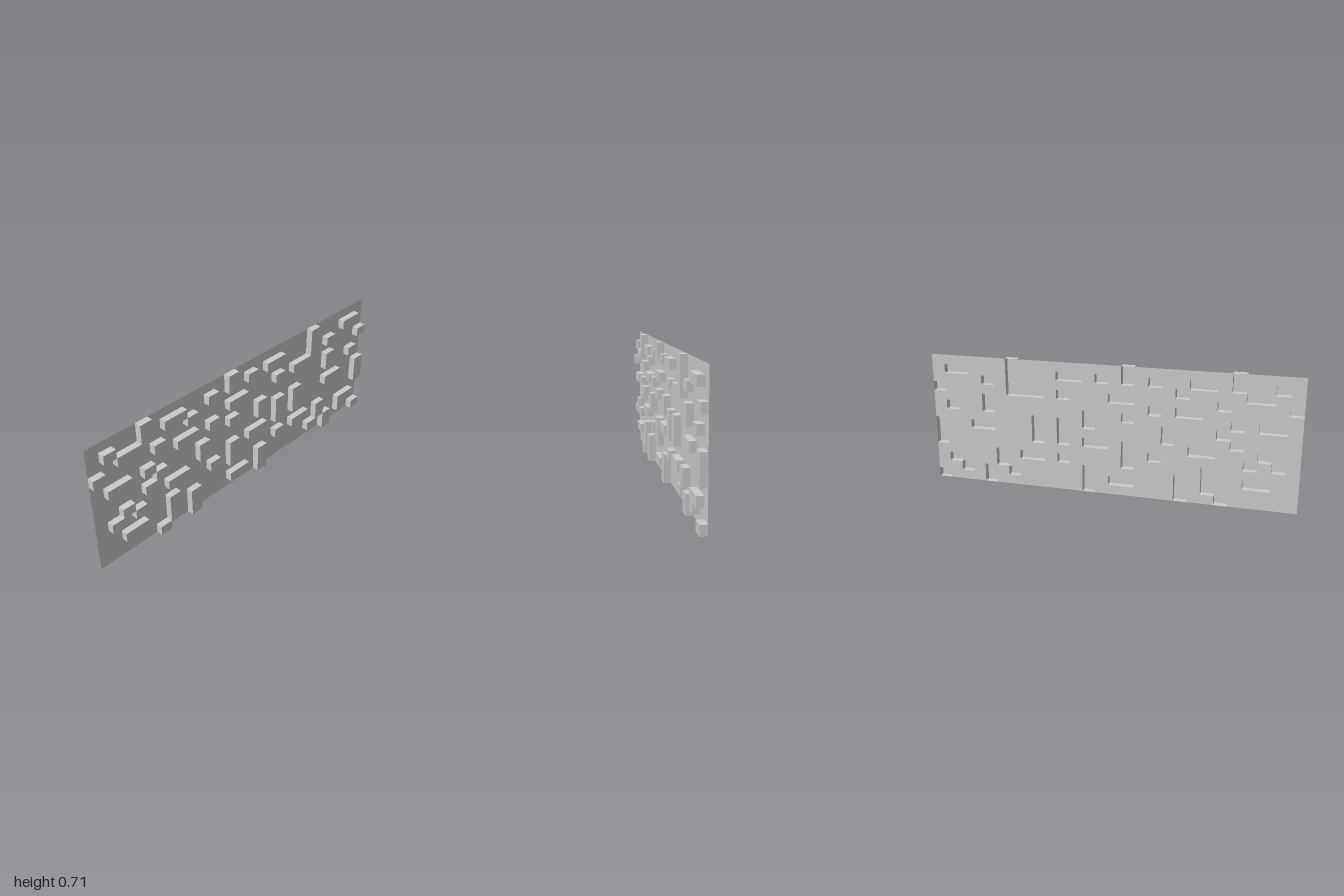
import * as THREE from 'three';

const COLS = 28, ROWS = 14;
const CW = 2 / COLS, CH = 0.714 / ROWS, BACK = -0.018, FRONT = 0.018;

// Raised blocks by size in grid cells; each place is [column, row from the top]
const BLOCK_KINDS = [
  { name: 'smallBlock', w: 1, h: 1, at: [
    [1, 1], [0, 3], [4, 5], [5, 3], [5, 6], [4, 7], [8, 2], [10, 1], [10, 4], [12, 5], [14, 1], [17, 3],
    [23, 2], [27, 3], [26, 5], [10, 9], [17, 10], [21, 12], [25, 12], [27, 13], [2, 8], [1, 9], [3, 9], [5, 13]] },
  { name: 'wideBlock', w: 2, h: 1, at: [
    [2, 2], [1, 5], [6, 1], [7, 4], [12, 3], [16, 1], [19, 3], [25, 1],
    [23, 7], [6, 8], [14, 8], [19, 10], [25, 11], [2, 11], [12, 12]] },
  { name: 'uprightBlock', w: 1, h: 2, at: [[4, 0], [9, 6], [12, 0], [23, 4], [15, 5], [22, 10], [23, 12]] },
  { name: 'tallBlock', w: 1, h: 3, at: [[17, 6], [19, 6], [27, 7], [12, 8], [6, 10], [8, 11], [15, 11]] },
  { name: 'tallestBlock', w: 1, h: 4, at: [[21, 0]] },
];

// Flat-shaded mesh from a list of four-cornered faces (counter-clockwise from outside)
function quadMesh(name, quads, material) {
  const positions = [];
  for (const [a, b, c, d] of quads) positions.push(...a, ...b, ...c, ...a, ...c, ...d);
  const geometry = new THREE.BufferGeometry();
  geometry.setAttribute('position', new THREE.Float32BufferAttribute(positions, 3));
  geometry.computeVertexNormals();
  const mesh = new THREE.Mesh(geometry, material);
  mesh.name = name;
  return mesh;
}

const point = (c, r, z) => [-1 + c * CW, (ROWS - r) * CH, z];

// Face parallel to the panel
const face = (c0, r0, c1, r1, z) =>
  [point(c0, r1, z), point(c1, r1, z), point(c1, r0, z), point(c0, r0, z)];

// Side wall running between two grid corners
const wall = (c0, r0, c1, r1) =>
  [point(c0, r0, BACK), point(c1, r1, BACK), point(c1, r1, FRONT), point(c0, r0, FRONT)];

export function createModel() {
  const group = new THREE.Group();
  group.name = 'reliefPanel';
  const material = new THREE.MeshStandardMaterial({ color: 0xcccccc, side: THREE.DoubleSide });

  // Mark the cells covered by blocks
  const raised = new Set();
  for (const { w, h, at } of BLOCK_KINDS)
    for (const [c, r] of at)
      for (let i = c; i < c + w; i++)
        for (let j = r; j < r + h; j++) raised.add(`${i},${j}`);
  const isRaised = (c, r) => raised.has(`${c},${r}`);

  // Thin back sheet, open behind every block
  const sheet = [];
  for (let r = 0; r < ROWS; r++)
    for (let c = 0; c < COLS; c++)
      if (!isRaised(c, r)) sheet.push(face(c, r, c + 1, r + 1, BACK));
  group.add(quadMesh('backSheet', sheet, material));

  // Hollow blocks, without walls where two of them join
  const blocks = new THREE.Group();
  blocks.name = 'raisedBlocks';
  for (const { name, w, h, at } of BLOCK_KINDS) {
    for (const [c, r] of at) {
      const quads = [face(c, r, c + w, r + h, FRONT)];
      for (let i = c; i < c + w; i++) {
        if (!isRaised(i, r - 1)) quads.push(wall(i + 1, r, i, r));
        if (!isRaised(i, r + h)) quads.push(wall(i, r + h, i + 1, r + h));
      }
      for (let j = r; j < r + h; j++) {
        if (!isRaised(c - 1, j)) quads.push(wall(c, j, c, j + 1));
        if (!isRaised(c + w, j)) quads.push(wall(c + w, j + 1, c + w, j));
      }
      blocks.add(quadMesh(name, quads, material));
    }
  }
  group.add(blocks);
  return group;
}
